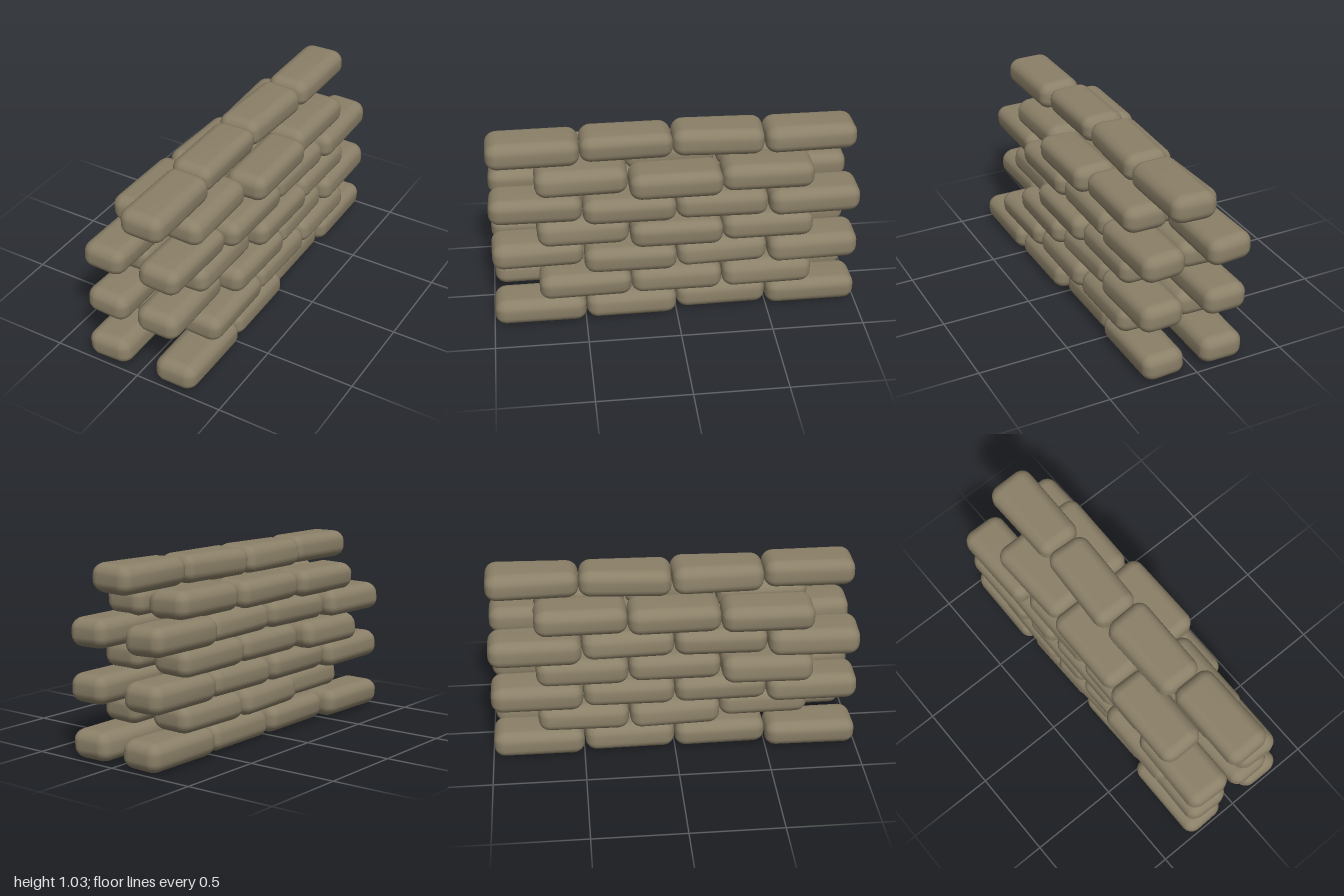
import * as THREE from 'three';
import { RoundedBoxGeometry } from 'three/addons/geometries/RoundedBoxGeometry.js';
import { mergeVertices } from 'three/addons/utils/BufferGeometryUtils.js';

const WIDTH = 0.24, HEIGHT = 0.157, LENGTH = 0.484;

// Small seeded generator giving values from -1 to 1
function seeded(seed) {
  let s = seed;
  return () => {
    s = (s * 16807) % 2147483647;
    return (s / 2147483647) * 2 - 1;
  };
}

// One filled bag: a rounded block with bulging sides, pinched ends and an uneven slump
function bagGeometry(rand) {
  const box = new RoundedBoxGeometry(WIDTH, HEIGHT, LENGTH, 3, 0.056);
  box.deleteAttribute('normal');
  box.deleteAttribute('uv');
  const geo = mergeVertices(box, 1e-4);
  const p = geo.attributes.position;
  const shear = rand() * 0.007, taper = rand() * 0.03, tilt = rand() * 0.004;
  const bulge = 0.011 + rand() * 0.005;
  for (let i = 0; i < p.count; i++) {
    let x = p.getX(i), y = p.getY(i), z = p.getZ(i);
    const u = x / (WIDTH / 2), v = y / (HEIGHT / 2), w = z / (LENGTH / 2);
    const pinch = 1 - 0.06 * w ** 8;
    x = x * pinch * (1 + taper * w) + shear * v + bulge * u * (0.4 - v * v);
    y = y * pinch + tilt * u * w - 0.003 * v * u * u;
    z += 0.006 * w * (1 - v * v) + shear * 0.5 * u * w;
    p.setXYZ(i, x, y, z);
  }
  geo.computeVertexNormals();
  return geo;
}

export function createModel() {
  const wall = new THREE.Group();
  wall.name = 'sandbagWall';
  const canvas = new THREE.MeshStandardMaterial({ color: 0x8b8068 });
  canvas.name = 'khakiCanvas';
  const rand = seeded(4711);

  // Courses from the ground up: bag centres across the wall, listed front to back
  const courses = [
    { y: 0.081, right: [-0.195, -0.145, -0.135, -0.165], left: [0.212, 0.195, 0.15, 0.175] },
    { y: 0.228, right: [-0.075, -0.15, -0.152], left: [0.212, 0.195, 0.185] },
    { y: 0.374, right: [-0.187, -0.155, -0.15, -0.175], left: [0.11, 0.205, 0.17, 0.19] },
    { y: 0.519, right: [-0.213, -0.15, -0.16], left: [0.135, 0.205, 0.175] },
    { y: 0.664, right: [-0.195, -0.15, -0.14, -0.19], left: [0.132, 0.18, 0.165, 0.185] },
    { y: 0.806, right: [-0.175, -0.15, -0.13], left: [0.105, 0.19, 0.15] },
    { y: 0.952, top: [0.041, 0.013, 0.01, 0.022], yaw: [0, 0, -0.05, 0] },
  ];

  courses.forEach(({ y, yaw, ...rows }, level) => {
    const course = new THREE.Group();
    course.name = `course${level + 1}`;
    for (const [side, centres] of Object.entries(rows)) {
      centres.forEach((x, i) => {
        const bag = new THREE.Mesh(bagGeometry(rand), canvas);
        bag.name = `${side}Bag${i + 1}`;
        bag.position.set(x, y, ((centres.length - 1) / 2 - i) * 0.497);
        bag.rotation.set(rand() * 0.006, yaw ? yaw[i] : rand() * 0.02, rand() * 0.02);
        course.add(bag);
      });
    }
    wall.add(course);
  });
  return wall;
}
